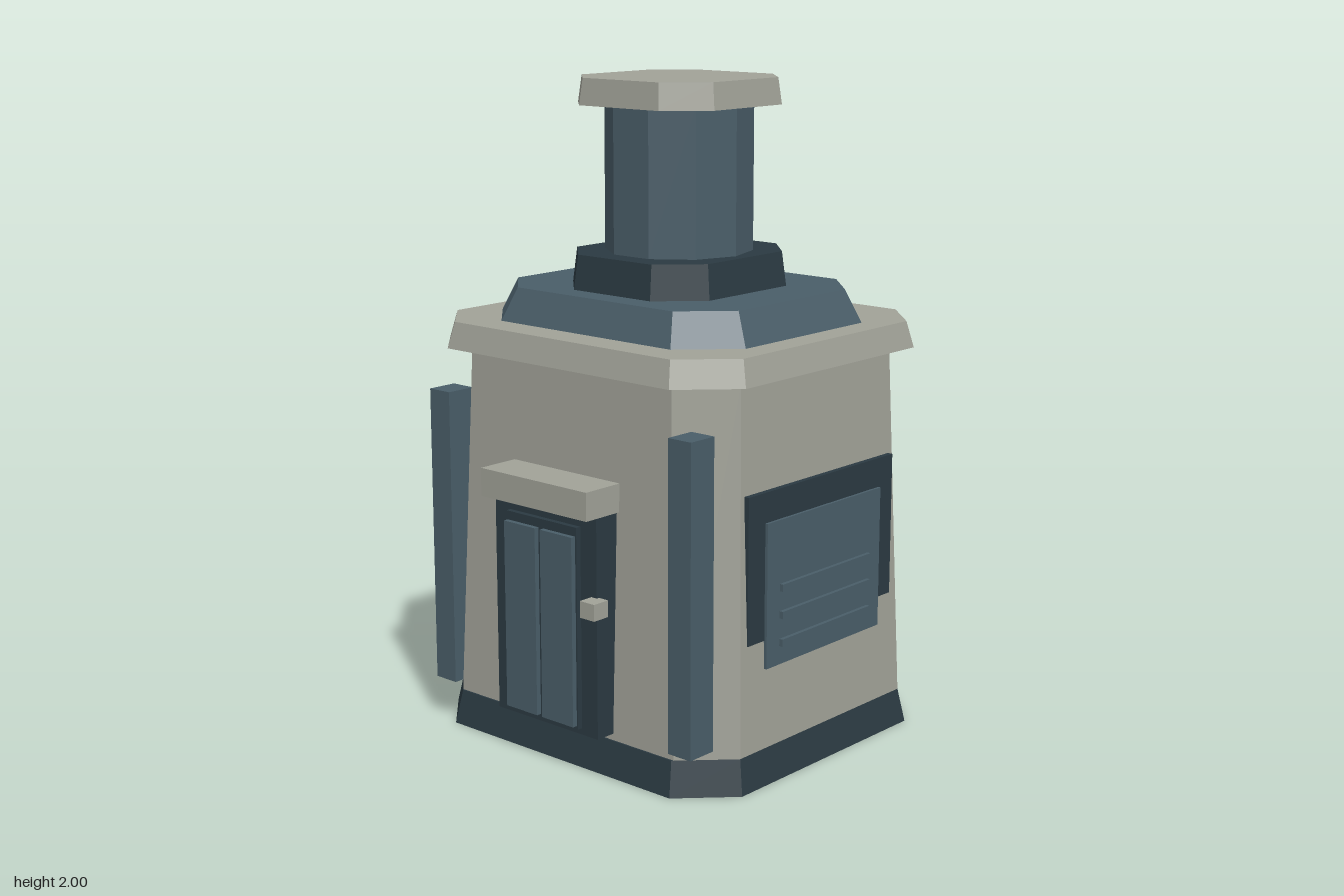
import * as THREE from 'three';

const CZ = -0.045; // the tower sits slightly behind the door, so its axis is set back

const mat = (name, color) => Object.assign(new THREE.MeshStandardMaterial({ color }), { name });

// Chamfered-rectangle ring: half sizes hx, hz and corner cut c
function ring(hx, hz, c, y) {
  return [
    [-hx + c, hz], [hx - c, hz], [hx, hz - c], [hx, -hz + c],
    [hx - c, -hz], [-hx + c, -hz], [-hx, -hz + c], [-hx, hz - c],
  ].map(([x, z]) => new THREE.Vector3(x, y, z));
}

// Closed eight-sided frustum between two rings
function frustum(bottom, top) {
  const pts = [];
  const n = bottom.length;
  for (let i = 0; i < n; i++) {
    const j = (i + 1) % n;
    pts.push(bottom[i], bottom[j], top[j], bottom[i], top[j], top[i]);
    if (i > 0 && i < n - 1) {
      pts.push(top[0], top[i], top[j]);
      pts.push(bottom[0], bottom[j], bottom[i]);
    }
  }
  const g = new THREE.BufferGeometry().setFromPoints(pts);
  g.computeVertexNormals();
  return g;
}

export function createModel() {
  const model = new THREE.Group();
  model.name = 'towerBuilding';
  const grey = mat('warm grey wall', 0xa1a298);
  const blue = mat('slate blue panel', 0x4a5e69);
  const dark = mat('dark slate trim', 0x2b3a42);
  const orange = mat('copper orange', 0xb87535);

  const add = (name, geometry, material) => {
    const mesh = new THREE.Mesh(geometry, material);
    mesh.name = name;
    model.add(mesh);
    return mesh;
  };
  const tier = (name, material, y0, y1, b, t) => {
    add(name, frustum(ring(...b, y0), ring(...t, y1)), material).position.z = CZ;
  };
  // Box given by its limits on each axis
  const box = (name, material, [x0, x1], [y0, y1], [z0, z1]) => {
    const mesh = add(name, new THREE.BoxGeometry(x1 - x0, y1 - y0, z1 - z0), material);
    mesh.position.set((x0 + x1) / 2, (y0 + y1) / 2, (z0 + z1) / 2);
  };

  // Stacked tiers, from the ground up
  tier('base', dark, 0, 0.105, [0.595, 0.547, 0.148], [0.575, 0.525, 0.14]);
  tier('walls', grey, 0.105, 1.195, [0.575, 0.52, 0.135], [0.538, 0.487, 0.137]);
  tier('roofSlab', grey, 1.195, 1.275, [0.595, 0.547, 0.15], [0.575, 0.527, 0.143]);
  tier('roofTier', blue, 1.275, 1.375, [0.49, 0.422, 0.15], [0.443, 0.38, 0.132]);
  tier('chimneyCollar', dark, 1.375, 1.48, [0.275, 0.3, 0.122], [0.263, 0.287, 0.116]);
  tier('chimneyCap', grey, 1.92, 2, [0.27, 0.267, 0.113], [0.26, 0.258, 0.11]);

  // Ten-sided chimney
  const pipe = new THREE.CylinderGeometry(0.225, 0.225, 0.45, 10).rotateY(Math.PI / 10).toNonIndexed();
  pipe.computeVertexNormals();
  add('chimney', pipe, blue).position.set(0, 1.7, CZ);

  // Doorway
  box('doorFrame', dark, [-0.208, 0.203], [0.125, 0.797], [0.4, 0.54]);
  box('doorBacking', dark, [-0.145, 0.14], [0.145, 0.757], [0.5, 0.557]);
  box('doorLeafRight', blue, [-0.14, -0.013], [0.155, 0.73], [0.52, 0.573]);
  box('doorLeafLeft', blue, [0.008, 0.135], [0.155, 0.73], [0.52, 0.573]);
  box('doorCanopy', grey, [-0.216, 0.212], [0.795, 0.88], [0.42, 0.59]);
  box('doorControl', grey, [0.182, 0.238], [0.505, 0.555], [0.53, 0.588]);

  // Mirrored corner posts and louvred side panels
  for (const s of [1, -1]) {
    const span = (a, b) => (s > 0 ? [a, b] : [-b, -a]);
    box('cornerPost', blue, span(0.443, 0.527), [0.135, 1.06], [0.405, 0.503]);
    box('sideFrame', dark, span(0.5, 0.566), [0.43, 0.87], [-0.385, 0.3]);
    box('sidePanel', blue, span(0.52, 0.575), [0.345, 0.78], [-0.315, 0.225]);
    for (const y of [0.412, 0.496, 0.578]) {
      box('louvre', blue, span(0.56, 0.587), [y - 0.011, y + 0.011], [-0.255, 0.167]);
    }
  }

  // Rear service panel
  box('rearFrame', dark, [-0.4, 0.4], [0.43, 0.875], [-0.556, -0.5]);
  box('rearPanel', grey, [-0.355, 0.355], [0.315, 0.825], [-0.566, -0.52]);
  box('rearPlate', orange, [-0.325, -0.055], [0.375, 0.44], [-0.578, -0.55]);

  return model;
}
